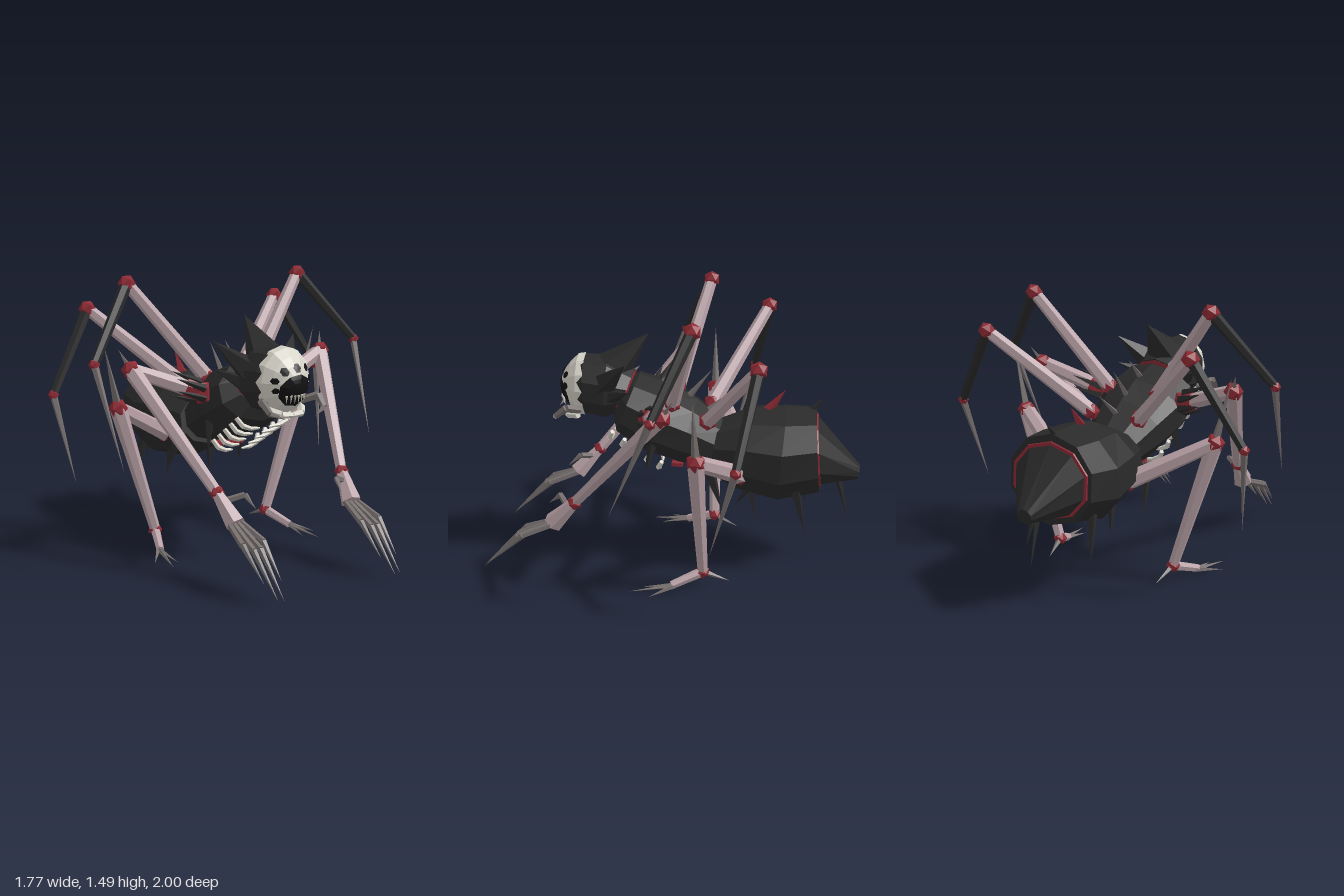
import * as THREE from 'three';

const mat = (name, color, side = THREE.FrontSide) => {
  const m = new THREE.MeshStandardMaterial({ color, side });
  m.name = name;
  return m;
};
const black = mat('black shell', 0x2a2a2b);
const pale = mat('pale flesh', 0xb9a2a7);
const red = mat('red joint', 0x8e2a34);
const bone = mat('bone', 0xd6d3c8);
const grey = mat('claw grey', 0x77706f);
const dark = mat('face black', 0x121213);

const V = (p) => new THREE.Vector3(...p);

// Faceted mesh added under a parent
function add(parent, name, geo, material) {
  const g = geo.index ? geo.toNonIndexed() : geo;
  g.computeVertexNormals();
  const mesh = new THREE.Mesh(g, material);
  mesh.name = name;
  parent.add(mesh);
  return mesh;
}

// Tapered rod from p to q
function rod(parent, name, p, q, r1, r2, material, sides = 6) {
  const a = V(p), d = V(q).sub(a), len = d.length();
  const geo = new THREE.CylinderGeometry(r2, r1, len, sides).translate(0, len / 2, 0);
  geo.applyQuaternion(new THREE.Quaternion().setFromUnitVectors(new THREE.Vector3(0, 1, 0), d.normalize()));
  return add(parent, name, geo.translate(a.x, a.y, a.z), material);
}
const spike = (parent, name, p, q, r, material, sides = 4) => rod(parent, name, p, q, r, 0, material, sides);

// Jointed chain of rods
function chain(parent, name, pts, radii, material, sides = 5) {
  for (let i = 0; i < pts.length - 1; i++) rod(parent, name, pts[i], pts[i + 1], radii[i], radii[i + 1], material, sides);
}
function ball(parent, name, p, r) {
  add(parent, name, new THREE.IcosahedronGeometry(r, 0).translate(...p), red);
}

// Shell through elliptical sections [topZ, topY, bottomZ, bottomY, halfWidth], front to back
function loft(parent, name, sections, material, n = 10) {
  const pos = [], idx = [];
  sections.forEach(([tz, ty, bz, by, w]) => {
    for (let j = 0; j < n; j++) {
      const a = (j / n) * Math.PI * 2, c = Math.cos(a) / 2;
      pos.push(w * Math.sin(a), (ty + by) / 2 + (ty - by) * c, (tz + bz) / 2 + (tz - bz) * c);
    }
  });
  const last = (sections.length - 1) * n;
  for (let j = 0; j < n; j++) {
    const k = (j + 1) % n;
    for (let b = 0; b < last; b += n) idx.push(b + j, b + k, b + n + j, b + k, b + n + k, b + n + j);
    if (j > 0 && j < n - 1) idx.push(0, k, j, last, last + j, last + k);
  }
  const geo = new THREE.BufferGeometry();
  geo.setAttribute('position', new THREE.Float32BufferAttribute(pos, 3));
  geo.setIndex(idx);
  return add(parent, name, geo, material);
}

// Disc draped over the domed face
const dome = (x, y) => 0.615 - 0.1 * ((x / 0.15) ** 2 + ((y - 0.995) / 0.168) ** 2);
function facePatch(parent, name, cx, cy, rx, ry, lift, material, n = 12, rings = 4) {
  const geo = new THREE.RingGeometry(0.001, 1, n, rings);
  const p = geo.attributes.position;
  for (let i = 0; i < p.count; i++) {
    const x = cx + p.getX(i) * rx, y = cy + p.getY(i) * ry;
    p.setXYZ(i, x, y, dome(x, y) + lift);
  }
  return add(parent, name, geo, material);
}

function group(parent, name) {
  const g = new THREE.Group();
  g.name = name;
  parent.add(g);
  return g;
}

function buildBody(root) {
  const body = group(root, 'body');
  loft(body, 'thorax', [
    [0.25, 1.04, 0.33, 0.83, 0.13], [0.19, 1.06, 0.31, 0.75, 0.23], [0.02, 1.01, 0.16, 0.65, 0.255],
    [-0.12, 0.93, -0.03, 0.58, 0.21], [-0.28, 0.8, -0.2, 0.55, 0.15]], black);
  loft(body, 'neckCollar', [[0.27, 1.06, 0.33, 0.84, 0.135], [0.21, 1.075, 0.29, 0.83, 0.15]], red);
  loft(body, 'abdomen', [
    [-0.24, 0.81, -0.19, 0.53, 0.19], [-0.43, 0.892, -0.32, 0.45, 0.265],
    [-0.6, 0.905, -0.56, 0.39, 0.29], [-0.755, 0.905, -0.79, 0.44, 0.255]], black);
  loft(body, 'abdomenRing', [[-0.75, 0.87, -0.78, 0.47, 0.235], [-0.765, 0.865, -0.797, 0.475, 0.23]], red);
  loft(body, 'tail', [[-0.765, 0.85, -0.795, 0.485, 0.215], [-1, 0.59, -0.985, 0.51, 0.045]], black);
  add(body, 'bellySlit', new THREE.BoxGeometry(0.16, 0.02, 0.06).translate(0, 0.575, -0.02), red);

  // Spines along the back: [baseY, baseZ, tipY, tipZ]
  [[1.02, 0.06, 1.13, -0.05], [0.95, -0.08, 1.1, -0.2], [0.87, -0.18, 1.0, -0.34]].forEach(([y, z, ty, tz]) =>
    spike(body, 'backSpine', [0, y, z], [0, ty, tz], 0.018, grey));
  spike(body, 'redSpine', [0, 0.88, -0.5], [0, 1.0, -0.59], 0.03, red);
  spike(body, 'rearSpine', [0, 0.89, -0.73], [0, 0.97, -0.8], 0.022, black);
  spike(body, 'bellySpike', [0, 0.53, -0.88], [0, 0.27, -0.95], 0.02, black);
  spike(body, 'bellySpike', [0, 0.42, -0.4], [0, 0.32, -0.33], 0.02, black);

  for (const s of [1, -1]) {
    spike(body, 'flankSpike', [s * 0.17, 0.5, -0.66], [s * 0.2, 0.26, -0.72], 0.03, black);
    spike(body, 'flankSpike', [s * 0.13, 0.48, -0.42], [s * 0.14, 0.3, -0.45], 0.025, black);
    spike(body, 'flankSpike', [s * 0.2, 0.62, -0.2], [s * 0.24, 0.39, -0.28], 0.04, black);
    spike(body, 'chestSpike', [s * 0.19, 0.74, 0.1], [s * 0.22, 0.58, 0.13], 0.03, black);
    // Ribs wrapped under the chest
    for (let k = 0; k < 5; k++) {
      const z = 0.31 - 0.065 * k, y = 0.775 - 0.042 * k, w = 1 - 0.03 * k;
      chain(body, 'rib', [[s * 0.165 * w, y + 0.01, z + 0.005], [s * 0.14 * w, y - 0.03, z + 0.025],
        [s * 0.09 * w, y - 0.05, z + 0.025], [s * 0.03, y - 0.055, z + 0.02]], [0.013, 0.015, 0.012, 0.006], bone);
    }
  }
}

function buildHead(root) {
  const head = group(root, 'head');
  loft(head, 'skull', [[0.52, 1.14, 0.52, 0.85, 0.14], [0.48, 1.165, 0.47, 0.83, 0.165],
    [0.35, 1.16, 0.37, 0.81, 0.178], [0.22, 1.08, 0.27, 0.86, 0.13]], black);
  facePatch(head, 'mask', 0, 0.995, 0.15, 0.168, 0, bone);
  const rim = new THREE.CylinderGeometry(1, 1.04, 0.04, 12, 1, true).rotateX(Math.PI / 2).scale(0.15, 0.168, 1);
  add(head, 'maskRim', rim.translate(0, 0.995, 0.497), bone);
  facePatch(head, 'mouthPatch', 0.01, 0.955, 0.1, 0.085, 0.006, dark, 9);
  // Eyes scattered over the brow
  [[-0.06, 1.055, 0.022], [0.01, 1.07, 0.024], [0.08, 1.065, 0.02], [-0.105, 1.01, 0.018], [0.1, 1.01, 0.02],
    [-0.1, 0.96, 0.016]].forEach(([x, y, r]) => facePatch(head, 'eye', x, y, r, r, 0.008, dark, 6, 1));
  for (let i = 0; i < 6; i++) {
    const x = -0.05 + i * 0.022;
    spike(head, 'tooth', [x, 0.935, dome(x, 0.935) + 0.008], [x, 0.89, dome(x, 0.9) + 0.02], 0.008, bone);
  }
  spike(head, 'crownHorn', [0, 1.06, 0.36], [0, 1.285, 0.14], 0.12, black, 6);
  for (const s of [1, -1]) {
    spike(head, 'sideHorn', [s * 0.11, 1.03, 0.36], [s * 0.25, 1.18, 0.23], 0.075, black, 5);
    spike(head, 'cheekHorn', [s * 0.13, 0.97, 0.32], [s * 0.24, 1.03, 0.22], 0.045, black, 5);
    chain(head, 'mandible', [[s * 0.11, 0.88, 0.5], [s * 0.175, 0.91, 0.56], [s * 0.165, 0.86, 0.62],
      [s * 0.09, 0.83, 0.65]], [0.02, 0.022, 0.016, 0], grey);
    chain(head, 'jaw', [[s * 0.1, 0.85, 0.51], [s * 0.06, 0.835, 0.57], [0, 0.83, 0.58]], [0.022, 0.02, 0.014], bone);
  }
}

function buildArm(root, s) {
  const P = (x, y, z) => [s * x, y, z];
  const arm = group(root, s > 0 ? 'leftArm' : 'rightArm');
  const hip = P(0.24, 0.89, 0.11), knee = P(0.6, 1.03, 0), wrist = P(0.39, 0.465, 0.485);
  ball(arm, 'shoulder', hip, 0.065);
  rod(arm, 'shoulderSleeve', hip, P(0.33, 0.925, 0.083), 0.055, 0.05, red);
  rod(arm, 'upperArm', hip, knee, 0.045, 0.038, pale);
  // Black thorns clasping the upper arm
  for (let i = 0; i < 6; i++) {
    const a = (i / 6) * Math.PI * 2, c = Math.cos(a) * 0.05, d = Math.sin(a) * 0.05;
    spike(arm, 'shoulderThorn', P(0.25, 0.895 + c, 0.107 + d), P(0.4, 0.95 + c * 1.3, 0.06 + d * 1.3), 0.025, black);
  }
  ball(arm, 'elbow', knee, 0.052);
  spike(arm, 'elbowSpike', knee, P(0.64, 1.13, -0.06), 0.018, grey);
  rod(arm, 'forearm', knee, wrist, 0.045, 0.03, pale);
  ball(arm, 'wrist', wrist, 0.04);
  rod(arm, 'palm', wrist, P(0.36, 0.33, 0.61), 0.03, 0.055, pale);
  for (let i = 0; i < 4; i++) {
    const o = i - 1.5, short = Math.abs(o) > 1 ? 0.07 : 0;
    chain(arm, 'finger', [P(0.36 + o * 0.022, 0.335, 0.6), P(0.36 + o * 0.04, 0.25 + short / 3, 0.8 - short / 2),
      P(0.355 + o * 0.033, 0.05 + short, 1 - short)], [0.016, 0.017, 0], grey);
  }
  chain(arm, 'thumb', [P(0.36, 0.43, 0.53), P(0.285, 0.46, 0.58), P(0.265, 0.4, 0.65)], [0.018, 0.016, 0], grey);
}

// Raised blade leg: hip, knee, ankle and tip
function buildBlade(root, name, s, points) {
  const leg = group(root, name);
  const [hip, knee, ankle, tip] = points.map(([x, y, z]) => [s * x, y, z]);
  ball(leg, 'hip', hip, 0.05);
  rod(leg, 'thigh', hip, knee, 0.042, 0.032, pale);
  ball(leg, 'knee', knee, 0.047);
  rod(leg, 'shin', knee, ankle, 0.032, 0.023, black);
  ball(leg, 'ankle', ankle, 0.03);
  spike(leg, 'blade', ankle, tip, 0.021, grey, 5);
}

function buildStandingLeg(root, s) {
  const P = (x, y, z) => [s * x, y, z];
  const leg = group(root, s > 0 ? 'leftStandingLeg' : 'rightStandingLeg');
  const hip = P(0.19, 0.58, -0.37), knee = P(0.59, 0.8, -0.17), ankle = P(0.365, 0.09, -0.19);
  ball(leg, 'hip', hip, 0.055);
  rod(leg, 'thigh', hip, knee, 0.05, 0.04, pale);
  ball(leg, 'knee', knee, 0.052);
  spike(leg, 'kneeSpike', knee, P(0.67, 1.14, -0.16), 0.025, grey);
  rod(leg, 'shin', knee, ankle, 0.045, 0.028, pale);
  ball(leg, 'ankle', ankle, 0.038);
  rod(leg, 'foot', ankle, P(0.425, 0.03, -0.03), 0.027, 0.022, pale);
  [[0.52, 0.08], [0.47, 0.19], [0.41, 0.13]].forEach(([x, z]) =>
    spike(leg, 'toe', P(0.425, 0.03, -0.05), P(x, 0.003, z), 0.016, grey));
  spike(leg, 'heelSpur', ankle, P(0.34, 0.03, -0.33), 0.018, grey);
}

export function createModel() {
  const root = new THREE.Group();
  root.name = 'boneSpider';
  buildBody(root);
  buildHead(root);
  for (const s of [1, -1]) {
    const side = s > 0 ? 'left' : 'right';
    buildArm(root, s);
    buildBlade(root, side + 'FrontBladeLeg', s,
      [[0.15, 0.95, 0], [0.54, 1.455, -0.145], [0.82, 1.08, 0.025], [0.775, 0.57, 0.24]]);
    buildBlade(root, side + 'RearBladeLeg', s,
      [[0.15, 0.86, -0.19], [0.61, 1.295, -0.47], [0.86, 0.865, -0.385], [0.8, 0.4, -0.26]]);
    buildStandingLeg(root, s);
  }
  return root;
}
